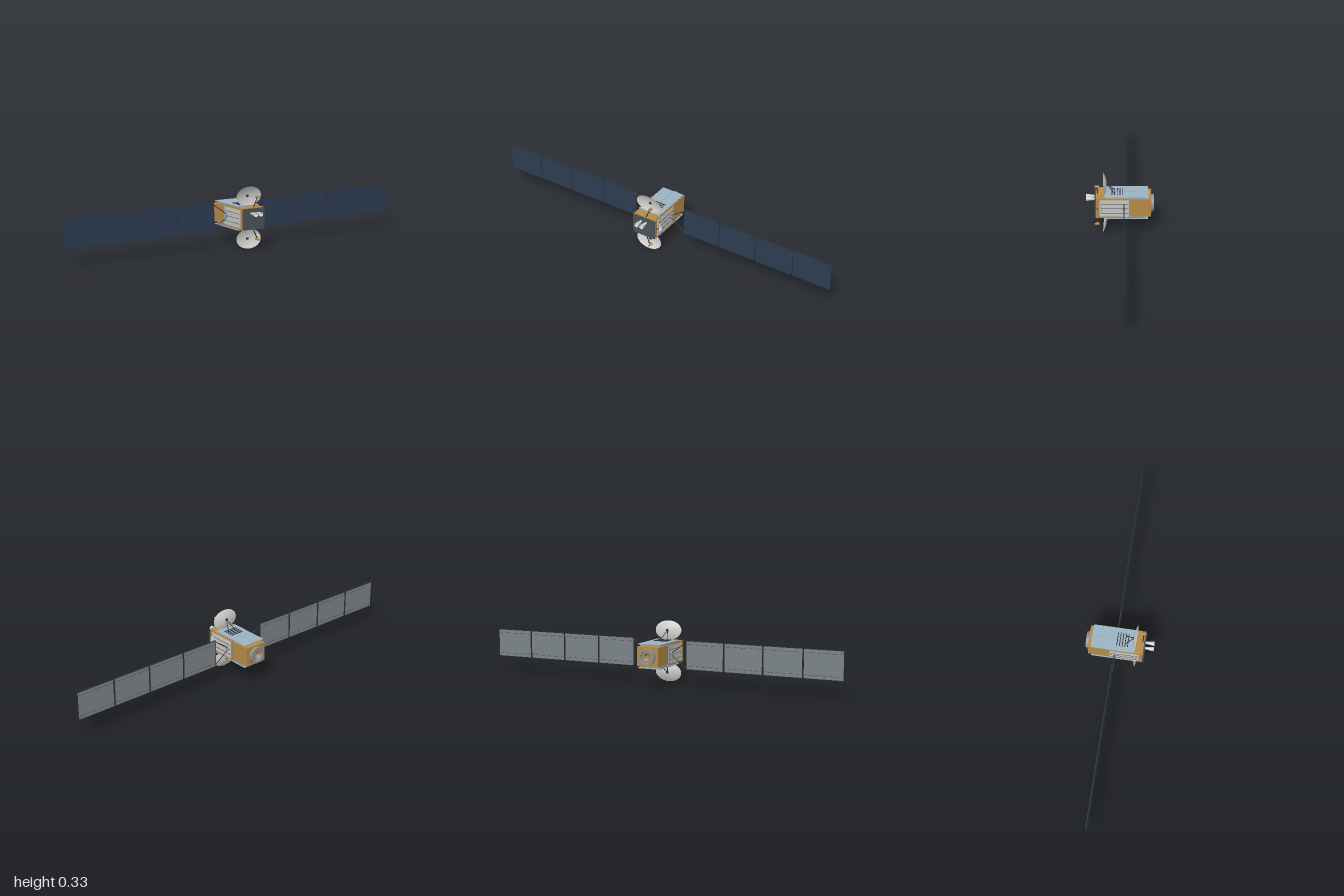
import * as THREE from 'three';

const paint = (name, color, extra = {}) => Object.assign(new THREE.MeshStandardMaterial({ color, ...extra }), { name });

export function createModel() {
  const gold = paint('gold foil', 0xb58a48);
  const navy = paint('solar cell navy', 0x2d3c52);
  const backGrey = paint('panel back grey', 0x7b8387);
  const dark = paint('dark frame', 0x2b2e31);
  const slate = paint('slate plate', 0x4b5257);
  const silver = paint('silver blanket', 0xc6c7c4);
  const blue = paint('radiator blue', 0x9bb3c2);
  const white = paint('dish white', 0xd2d1ce, { side: THREE.DoubleSide });
  const steel = paint('steel grey', 0x8b9298, { side: THREE.DoubleSide });

  const root = new THREE.Group();
  root.name = 'satellite';
  const CY = 0.167; // height of the body axis

  const add = (name, geo, mat, x = 0, y = 0, z = 0, parent = root) => {
    const m = new THREE.Mesh(geo, mat);
    m.name = name;
    m.position.set(x, y, z);
    parent.add(m);
    return m;
  };
  const box = (name, mat, w, h, d, x, y, z, parent) => add(name, new THREE.BoxGeometry(w, h, d), mat, x, y, z, parent);
  // round bar between two points
  const rod = (name, mat, a, b, r, parent) => {
    const p = new THREE.Vector3(...a), q = new THREE.Vector3(...b);
    const d = q.clone().sub(p);
    const m = add(name, new THREE.CylinderGeometry(r, r, d.length(), 8), mat, 0, 0, 0, parent);
    m.position.copy(p).add(q).multiplyScalar(0.5);
    m.quaternion.setFromUnitVectors(new THREE.Vector3(0, 1, 0), d.normalize());
    return m;
  };
  // cone or tube lying along z, r1 at the +z end
  const barrel = (name, mat, r1, r2, len, x, y, z, open = false, parent = root) =>
    add(name, new THREE.CylinderGeometry(r1, r2, len, 28, 1, open).rotateX(Math.PI / 2), mat, x, y, z, parent);
  // shallow parabolic bowl opening to +z, rim in the plane z = 0
  const bowl = (rx, ry, depth) => {
    const pts = [];
    for (let i = 0; i <= 10; i++) pts.push(new THREE.Vector2(i / 10, ((i / 10) ** 2 - 1) * depth));
    return new THREE.LatheGeometry(pts, 40).rotateX(Math.PI / 2).scale(rx, ry, 1);
  };

  // body
  box('frontBody', gold, 0.13, 0.114, 0.175, 0, CY, 0.0375);
  box('rearBody', gold, 0.12, 0.102, 0.115, 0, CY, -0.1055);
  box('frontPlate', slate, 0.132, 0.11, 0.007, 0, CY, 0.1285);

  // adapter ring and engine at the rear
  const ring = [[0.034, 0], [0.044, 0], [0.044, 0.015], [0.034, 0.015], [0.034, 0]].map(p => new THREE.Vector2(...p));
  add('adapterRing', new THREE.LatheGeometry(ring, 40).rotateX(-Math.PI / 2).toNonIndexed(), steel, 0, CY, -0.163)
    .geometry.computeVertexNormals();
  barrel('engineNozzle', steel, 0.01, 0.02, 0.012, 0, CY, -0.169, true);

  // pair of horns on the front
  for (const s of [-1, 1]) {
    barrel('frontHorn', white, 0.012, 0.006, 0.046, s * 0.015, 0.197, 0.155, true);
    barrel('hornThroat', slate, 0.006, 0.006, 0.004, s * 0.015, 0.197, 0.134);
  }

  // side blankets with heat pipes
  for (const s of [-1, 1]) {
    box('sideBlanket', silver, 0.004, 0.094, 0.153, s * 0.066, CY, 0.03);
    box('blanketEdge', steel, 0.005, 0.114, 0.006, s * 0.065, CY, -0.048);
    for (const y of [0.193, 0.168, 0.141]) box('heatPipe', slate, 0.002, 0.002, 0.145, s * 0.0685, y, 0.029);
  }

  // top and bottom decks: radiator, louvres, dish and feed
  for (const s of [1, -1]) {
    const deck = new THREE.Group();
    deck.name = s > 0 ? 'topDeck' : 'bottomDeck';
    deck.position.y = CY;
    root.add(deck);
    box('radiatorBase', steel, 0.116, 0.006, 0.205, 0, s * 0.057, -0.0315, deck);
    for (const x of [-1, 1]) box('radiator', blue, 0.0625, 0.004, 0.228, x * 0.0322, s * 0.062, -0.0335, deck);
    for (let i = 0; i < 5; i++) box('louvre', dark, 0.074, 0.003, 0.004, 0, s * 0.0655, 0.042 - i * 0.014, deck);

    const dish = add('mainDish', bowl(0.075, 0.0512, 0.013), white, 0, s * 0.112, 0.083, deck);
    dish.rotation.x = s * 0.118;
    for (const x of [-1, 1]) rod('dishStrut', dark, [x * 0.022, s * 0.064, 0.027], [0, s * 0.114, 0.072], 0.002, deck);
    box('dishHub', dark, 0.014, 0.012, 0.004, 0, s * 0.113, 0.07, deck);

    rod('feedArm', dark, [0.005, s * 0.054, 0.117], [0.03, s * 0.108, 0.119], 0.0028, deck);
    const feed = barrel('feedHorn', gold, 0.005, 0.0085, 0.023, 0.031, s * 0.111, 0.12, false, deck);
    feed.rotation.x = -s * 0.12;
  }

  // small dish on the left side
  const small = add('sideDish', bowl(0.024, 0.028, 0.007), white, 0.066, 0.172, 0.099);
  small.rotation.y = 0.1;
  rod('sideFeedArm', dark, [0.064, 0.17, 0.117], [0.08, 0.17, 0.117], 0.0015);
  rod('sideFeedPost', dark, [0.08, 0.169, 0.117], [0.08, 0.178, 0.117], 0.0015);
  rod('sideFeed', dark, [0.08, 0.177, 0.114], [0.08, 0.177, 0.128], 0.0015);

  // solar wings: hub, yoke and four hinged panels a side
  const cells = [dark, dark, dark, dark, navy, backGrey];
  const PW = 0.2125, Z = -0.021;
  for (const s of [1, -1]) {
    const wing = new THREE.Group();
    wing.name = s > 0 ? 'leftWing' : 'rightWing';
    wing.position.set(0, CY + 0.001, Z);
    root.add(wing);
    rod('driveHub', steel, [s * 0.06, 0, 0], [s * 0.077, 0, 0], 0.008, wing);
    for (const v of [1, -1]) rod('yokeArm', dark, [s * 0.07, v * 0.008, 0], [s * 0.152, v * 0.066, 0], 0.002, wing);
    rod('yokeBar', dark, [s * 0.151, -0.073, 0], [s * 0.151, 0.073, 0], 0.0018, wing);
    for (let i = 0; i < 4; i++) {
      const x = s * (0.15 + PW * (i + 0.5));
      box('solarPanel', cells, PW - 0.004, 0.15, 0.004, x, 0, 0, wing);
      for (const e of [-1, 1]) {
        box('panelFrame', dark, 0.002, 0.15, 0.002, x + e * (PW / 2 - 0.003), 0, -0.003, wing);
        box('edgeFrame', dark, PW - 0.004, 0.002, 0.002, x, e * 0.074, -0.003, wing);
        for (let k = 0; k < 12; k++)
          box('backDash', dark, 0.009, 0.0016, 0.001, x + (k - 5.5) * 0.0165, e * 0.056, -0.0023, wing);
      }
      // hinges to the next panel
      if (i < 3) for (const v of [-0.05, 0.05])
        box('hinge', dark, 0.008, 0.008, 0.003, s * (0.15 + PW * (i + 1)), v, -0.001, wing);
    }
  }
  return root;
}
